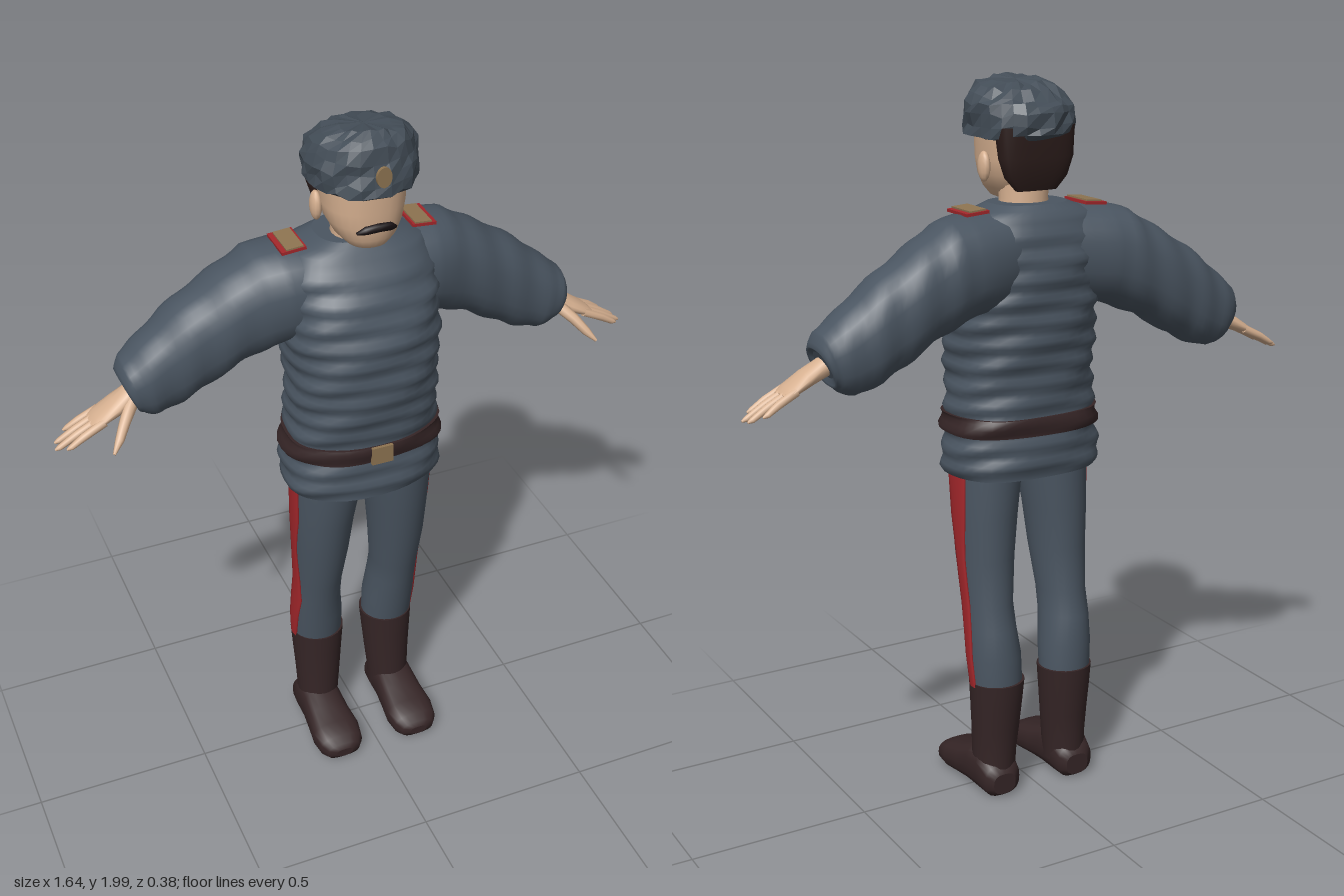
import * as THREE from 'three';

const V = (x, y, z) => new THREE.Vector3(x, y, z);
const mat = (name, color) => Object.assign(new THREE.MeshStandardMaterial({ color }), { name });

// Closed ring of n points round c, spanned by half-axes u and v; p > 2 squares it off
function ring(c, u, v, n = 20, p = 2, wobble = () => 0) {
  const pow = (k) => Math.sign(k) * Math.abs(k) ** (2 / p);
  return Array.from({ length: n }, (_, i) => {
    const t = (i / n) * Math.PI * 2;
    const d = u.clone().multiplyScalar(pow(Math.cos(t))).addScaledVector(v, pow(Math.sin(t)));
    return c.clone().addScaledVector(d, 1 + wobble(t, i));
  });
}
const flatRing = (y, x, rx, z, rz, n, p, w) => ring(V(x, y, z), V(rx, 0, 0), V(0, 0, rz), n, p, w);

// Skin a row of equal rings, close both ends, and turn the faces outwards
function loft(rings, faceted = false) {
  const n = rings[0].length, pts = rings.flat(), idx = [];
  for (let r = 0; r < rings.length - 1; r++) {
    for (let i = 0; i < n; i++) {
      const a = r * n + i, b = r * n + ((i + 1) % n);
      idx.push(a, b, a + n, b, b + n, a + n);
    }
  }
  [rings[0], rings[rings.length - 1]].forEach((rim, end) => {
    const base = pts.length;
    const mid = rim.reduce((s, q) => s.add(q), V(0, 0, 0)).divideScalar(n);
    pts.push(...rim, mid);
    for (let i = 0; i < n; i++) {
      const a = base + i, b = base + ((i + 1) % n);
      idx.push(...(end ? [a, b, base + n] : [b, a, base + n]));
    }
  });
  let volume = 0;
  for (let i = 0; i < idx.length; i += 3) {
    volume += pts[idx[i]].dot(V(0, 0, 0).crossVectors(pts[idx[i + 1]], pts[idx[i + 2]]));
  }
  if (volume < 0) idx.reverse();
  let g = new THREE.BufferGeometry().setFromPoints(pts);
  g.setIndex(idx);
  if (faceted) g = g.toNonIndexed();
  g.computeVertexNormals();
  return g;
}

// Round limb through stations [x, y, z, half thickness, half width]
function limb(stations, s, n = 10) {
  const c = stations.map(([x, y, z]) => V(x * s, y, z));
  return loft(stations.map((q, i) => {
    const d = c[Math.min(i + 1, c.length - 1)].clone().sub(c[Math.max(i - 1, 0)]).normalize();
    const u = V(-d.y, d.x, 0).normalize();
    const v = d.clone().cross(u);
    return ring(c[i], u.multiplyScalar(q[3]), v.multiplyScalar(q[4] ?? q[3]), n);
  }));
}

// Linear lookup in a table whose first column rises
function sample(table, k) {
  let i = 0;
  while (i < table.length - 2 && k > table[i + 1][0]) i++;
  const a = table[i], b = table[i + 1];
  const f = THREE.MathUtils.clamp((k - a[0]) / (b[0] - a[0]), 0, 1);
  return a.map((q, j) => q + (b[j] - q) * f);
}

// y, half width, front z, back z
const TORSO = [
  [0.94, 0.215, 0.15, -0.145], [0.98, 0.222, 0.155, -0.15], [1.08, 0.21, 0.148, -0.145],
  [1.2, 0.2, 0.17, -0.15], [1.3, 0.2, 0.18, -0.165], [1.42, 0.205, 0.18, -0.175],
  [1.52, 0.205, 0.155, -0.18], [1.6, 0.2, 0.11, -0.165], [1.645, 0.175, 0.075, -0.145],
  [1.672, 0.105, 0.05, -0.12],
];
// y, centre x, half width, centre z, half depth
const LEG = [
  [0.33, 0.111, 0.073, -0.06, 0.07], [0.42, 0.114, 0.075, -0.052, 0.077],
  [0.5, 0.118, 0.069, -0.04, 0.08], [0.57, 0.118, 0.068, -0.024, 0.079],
  [0.7, 0.115, 0.079, -0.005, 0.09], [0.82, 0.111, 0.087, 0.003, 0.103],
  [0.95, 0.102, 0.098, 0.014, 0.114], [1.0, 0.1, 0.098, 0.014, 0.114],
];

// Jacket cross-section with cloth folds
function torsoRing(y, grow = 0) {
  const [, rx, f, b] = sample(TORSO, y);
  const fade = y > 1.6 ? 0.3 : 1;
  const folds = (t) => fade * (0.026 * Math.sin(y * 112 + 1.4 * Math.sin(t * 2 + 1))
    + 0.014 * Math.sin(t * 5 + y * 40));
  return flatRing(y, 0, rx + grow, (f + b) / 2, (f - b) / 2 + grow, 36, 2.5, folds);
}

export function createModel() {
  const model = new THREE.Group();
  model.name = 'uniformedMan';
  const cloth = mat('greyBlueCloth', 0x4a5561), fur = mat('greyFur', 0x434d57);
  const skin = mat('skin', 0xd6b090), leather = mat('darkLeather', 0x352526);
  const hairMat = mat('darkHair', 0x2c1d1b), black = mat('moustacheBlack', 0x191214);
  const red = mat('redTrim', 0xa3272b), gold = mat('dullGold', 0x8e7451);
  const add = (name, geometry, material, parent = model) => {
    const m = new THREE.Mesh(geometry, material);
    m.name = name;
    parent.add(m);
    return m;
  };
  const box = (name, size, pos, material) => {
    const m = add(name, new THREE.BoxGeometry(...size), material);
    m.position.set(...pos);
    return m;
  };

  // Jacket body, belt and buckle
  const body = [];
  for (let i = 0; i <= 52; i++) body.push(torsoRing(0.94 + (0.732 * i) / 52));
  add('jacket', loft(body), cloth);
  add('belt', loft([1.06, 1.07, 1.085, 1.1, 1.11].map((y) => torsoRing(y, 0.008))), leather);
  box('buckle', [0.06, 0.052, 0.009], [0, 1.085, 0.162], gold);
  add('trouserSeat', loft([[0.92, 0.04, 0.05], [0.94, 0.09, 0.09], [1.0, 0.15, 0.11]]
    .map(([y, rx, rz]) => flatRing(y, 0, rx, 0.01, rz))), cloth);

  for (const s of [1, -1]) {
    const side = s > 0 ? 'left' : 'right';

    // Sleeve: top x, top y, bottom x, bottom y, centre z, half depth
    const sleeve = [
      [0, 0.05, 1.66, 0.1, 1.4, -0.04, 0.12], [1, 0.2, 1.657, 0.19, 1.39, -0.055, 0.13],
      [2, 0.275, 1.642, 0.25, 1.37, -0.067, 0.122], [3, 0.35, 1.595, 0.33, 1.335, -0.075, 0.115],
      [4, 0.425, 1.55, 0.41, 1.285, -0.08, 0.108], [5, 0.5, 1.5, 0.475, 1.25, -0.082, 0.1],
      [6, 0.57, 1.44, 0.54, 1.228, -0.08, 0.092], [7, 0.622, 1.4, 0.575, 1.24, -0.075, 0.082],
      [8, 0.638, 1.36, 0.592, 1.255, -0.07, 0.066], [9, 0.622, 1.345, 0.59, 1.275, -0.065, 0.045],
    ];
    const arm = [];
    for (let k = 0; k <= 9; k += 0.25) {
      const [, tx, ty, bx, by, z, hz] = sample(sleeve, k);
      const c = V((s * (tx + bx)) / 2, (ty + by) / 2, z);
      const folds = (t) => (k < 2 ? 0.008 : 0.025) * Math.sin(k * 4.2 + 1.5 * Math.sin(t + 1));
      arm.push(ring(c, V((s * (tx - bx)) / 2, (ty - by) / 2, 0), V(0, 0, hz), 24, 2.3, folds));
    }
    add(side + 'Sleeve', loft(arm), cloth);

    // Hand
    const hand = new THREE.Group();
    hand.name = side + 'Hand';
    model.add(hand);
    add('palm', limb([[0.56, 1.325, -0.06, 0.03, 0.034], [0.61, 1.303, -0.06, 0.026, 0.032],
      [0.65, 1.282, -0.055, 0.022, 0.043], [0.7, 1.255, -0.056, 0.015, 0.046],
      [0.72, 1.244, -0.057, 0.009, 0.042]], s, 14), skin, hand);
    [[-0.021, -0.018, 0.795], [-0.045, -0.046, 0.82], [-0.068, -0.073, 0.815], [-0.09, -0.1, 0.785]]
      .forEach(([z0, z1, x]) => {
        const tipY = 1.25 - (x - 0.7) * 0.5;
        add('finger', limb([[0.69, 1.258, z0, 0.012], [(0.7 + x) / 2, (1.25 + tipY) / 2 + 0.003, (z0 + z1) / 2, 0.011],
          [x - 0.012, tipY + 0.005, z1, 0.008], [x, tipY, z1, 0.003]], s, 8), skin, hand);
      });
    add('thumb', limb([[0.61, 1.295, -0.035, 0.018], [0.645, 1.262, 0.005, 0.015],
      [0.67, 1.232, 0.035, 0.012], [0.692, 1.208, 0.056, 0.004]], s, 8), skin, hand);

    // Shoulder boards
    box(side + 'BoardTrim', [0.066, 0.008, 0.108], [s * 0.178, 1.659, -0.042], red).rotation.z = -s * 0.08;
    box(side + 'ShoulderBoard', [0.046, 0.009, 0.1], [s * 0.175, 1.663, -0.04], gold).rotation.z = -s * 0.08;

    // Trouser leg with a stripe on its outer face
    add(side + 'Leg', loft(LEG.map(([y, x, rx, z, rz]) => flatRing(y, s * x, rx, z, rz, 28))), cloth);
    const STRIPE = [[0.34, -0.04, -0.073], [0.5, 0.0, -0.055], [0.6, 0.005, -0.04],
      [0.72, 0.012, -0.03], [0.82, 0.035, -0.035], [0.95, 0.045, -0.036]];
    const stripe = [0.335, 0.42, 0.5, 0.57, 0.63, 0.7, 0.76, 0.82, 0.88, 0.95].map((y) => {
      const [, x, rx, z, rz] = sample(LEG, y), [, front, back] = sample(STRIPE, y);
      const edge = (f, lift) => {
        const q = front + (back - front) * f;
        return V(s * (x + rx * Math.sqrt(1 - ((q - z) / rz) ** 2) + lift), y, q);
      };
      const steps = [0, 0.25, 0.5, 0.75, 1];
      return [...steps.map((f) => edge(f, 0.004)), ...steps.reverse().map((f) => edge(f, -0.003))];
    });
    add(side + 'Stripe', loft(stripe), red);

    // Boot shaft and foot
    add(side + 'BootShaft', loft([[0.05, 0.116, 0.058, -0.05, 0.066], [0.13, 0.114, 0.062, -0.05, 0.066],
      [0.2, 0.112, 0.067, -0.054, 0.069], [0.28, 0.111, 0.073, -0.058, 0.074], [0.345, 0.11, 0.078, -0.06, 0.077]]
      .map(([y, x, rx, z, rz]) => flatRing(y, s * x, rx, z, rz, 24))), leather);
    const foot = [[-0.122, 0.035, 0.015, 0.075], [-0.108, 0.055, 0.005, 0.1], [-0.06, 0.062, 0.004, 0.14],
      [0, 0.062, 0.005, 0.13], [0.05, 0.066, 0.005, 0.108], [0.11, 0.073, 0.004, 0.092],
      [0.155, 0.066, 0.006, 0.076], [0.175, 0.05, 0.01, 0.06], [0.183, 0.025, 0.02, 0.045]];
    add(side + 'Foot', loft(foot.map(([z, w, y0, y1]) =>
      ring(V(s * 0.12, (y0 + y1) / 2, z), V(w, 0, 0), V(0, (y1 - y0) / 2, 0), 20, 2.7))), leather);

    // Ear
    const ear = add(side + 'Ear', new THREE.SphereGeometry(1, 12, 8), skin);
    ear.scale.set(0.015, 0.04, 0.024);
    ear.position.set(s * 0.112, 1.765, -0.008);
  }

  // Neck, head and hair: y, half width, front z, back z
  const stack = (rows, n, p) => loft(rows.map(([y, rx, f, b]) => flatRing(y, 0, rx, (f + b) / 2, (f - b) / 2, n, p)));
  add('neck', stack([[1.63, 0.072, 0.05, -0.085], [1.68, 0.066, 0.045, -0.082], [1.76, 0.07, 0.05, -0.08]], 20, 2), skin);
  add('head', stack([[1.672, 0.035, 0.09, 0.0], [1.68, 0.055, 0.105, -0.03], [1.705, 0.078, 0.119, -0.06],
    [1.74, 0.096, 0.124, -0.08], [1.78, 0.105, 0.126, -0.09], [1.86, 0.11, 0.128, -0.1]], 28, 2.3), skin);
  add('hair', stack([[1.705, 0.06, -0.07, -0.097], [1.74, 0.09, -0.055, -0.11], [1.79, 0.106, -0.045, -0.12],
    [1.87, 0.112, -0.03, -0.122]], 24, 3), hairMat);

  // Drooping moustache
  add('moustache', limb([[-0.052, 1.731, 0.112, 0.004], [-0.032, 1.742, 0.124, 0.011], [0, 1.748, 0.132, 0.011],
    [0.032, 1.742, 0.124, 0.011], [0.052, 1.731, 0.112, 0.004]], 1, 8), black);

  // Rough fur hat and its badge
  let seed = 7;
  const rand = () => ((seed = (seed * 16807) % 2147483647) / 2147483647) - 0.5;
  const hat = [[1.838, 0.118, 0.145, -0.12], [1.845, 0.138, 0.16, -0.137], [1.87, 0.14, 0.155, -0.14],
    [1.9, 0.141, 0.148, -0.138], [1.925, 0.137, 0.146, -0.128], [1.95, 0.122, 0.135, -0.108],
    [1.972, 0.102, 0.118, -0.08], [1.985, 0.065, 0.095, -0.04]];
  add('furHat', loft(hat.map(([y, rx, f, b]) => {
    const r = flatRing(y, 0, rx, (f + b) / 2, (f - b) / 2, 26, 2.2, () => rand() * 0.09);
    r.forEach((q) => { q.y += rand() * 0.014 - (y > 1.93 ? q.z - 0.07 : 0) * -0.1; });
    return r;
  }), true), fur);
  const badge = add('hatBadge', new THREE.CylinderGeometry(1, 1, 1, 16), gold);
  badge.scale.set(0.02, 0.009, 0.027);
  badge.rotation.x = Math.PI / 2;
  badge.position.set(0, 1.895, 0.156);

  return model;
}
